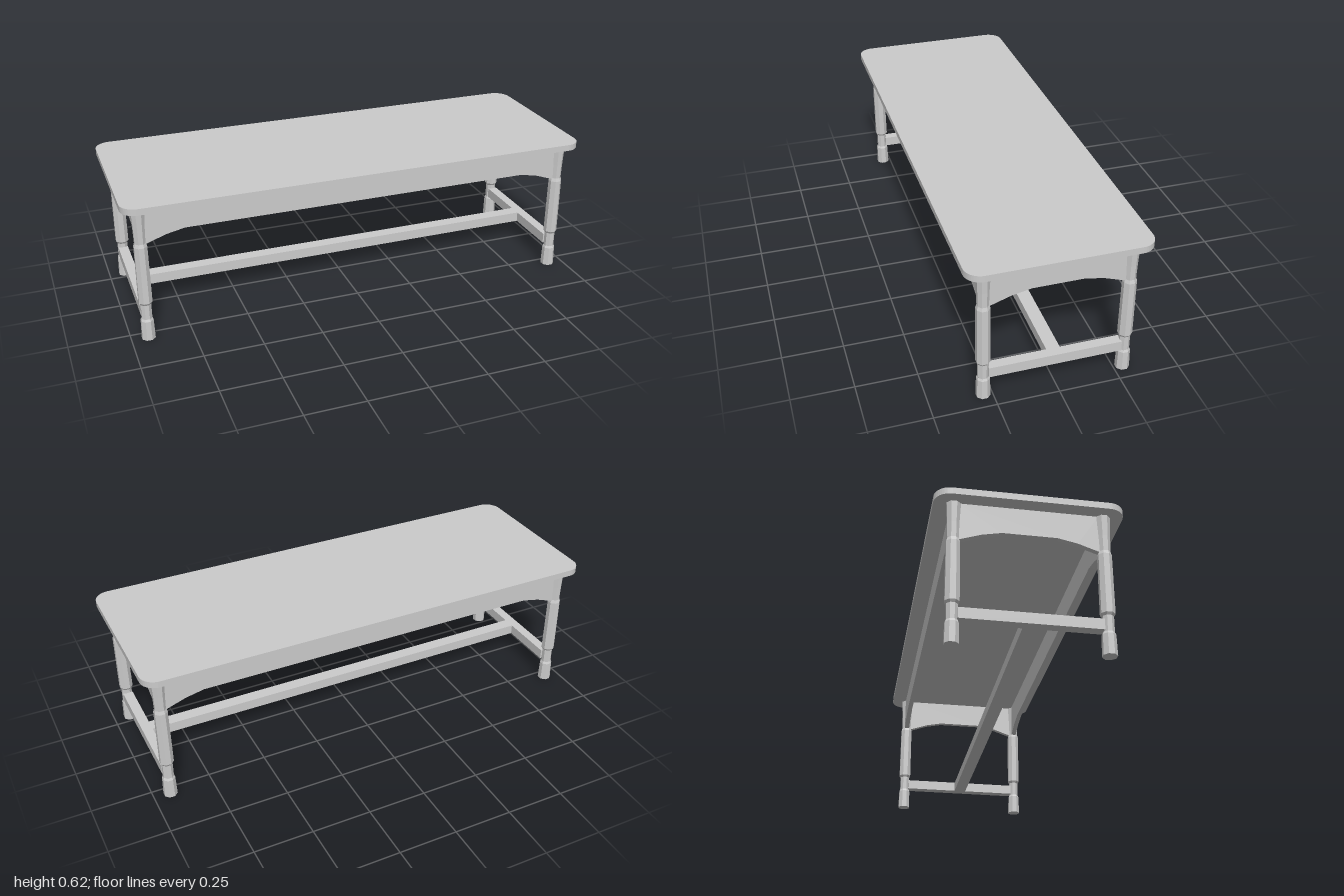
import * as THREE from 'three';

const material = new THREE.MeshStandardMaterial({ color: 0xcccccc, flatShading: true });

function add(parent, name, geometry, x = 0, y = 0, z = 0) {
  const mesh = new THREE.Mesh(geometry, material);
  mesh.name = name;
  mesh.position.set(x, y, z);
  parent.add(mesh);
  return mesh;
}

// Flat slab with rounded corners, lying in the xz plane
function slabGeometry(halfX, halfZ, radius, height) {
  const s = new THREE.Shape();
  for (let i = 0; i < 4; i++) {
    const sx = i === 0 || i === 3 ? 1 : -1;
    const sz = i < 2 ? 1 : -1;
    s.absarc(sx * (halfX - radius), sz * (halfZ - radius), radius,
      i * Math.PI / 2, (i + 1) * Math.PI / 2, false);
  }
  s.closePath();
  const g = new THREE.ExtrudeGeometry(s, { depth: height, bevelEnabled: false, curveSegments: 5 });
  return g.rotateX(-Math.PI / 2);
}

// Apron board whose lower edge drops in a shallow curve towards each leg
function apronGeometry(half, straight, thickness) {
  const top = 0.588, mid = 0.475, low = 0.43;
  const bend = straight + (half - straight) * 0.48;
  const s = new THREE.Shape([
    [-half, top], [-half, low], [-bend, 0.459], [-straight, mid],
    [straight, mid], [bend, 0.459], [half, low], [half, top],
  ].map(([x, y]) => new THREE.Vector2(x, y)));
  const g = new THREE.ExtrudeGeometry(s, { depth: thickness, bevelEnabled: false });
  return g.translate(0, 0, -thickness / 2);
}

// Eight-sided leg with a slim neck at the stretcher and a tapered foot
function legGeometry() {
  const k = 1 / Math.cos(Math.PI / 8);
  const profile = [
    [0, 0], [0.027, 0], [0.025, 0.085], [0.021, 0.095], [0.021, 0.16],
    [0.027, 0.17], [0.026, 0.42], [0.022, 0.435], [0.0235, 0.5], [0.027, 0.588], [0, 0.588],
  ].map(([half, y]) => new THREE.Vector2(half * k, y));
  return new THREE.LatheGeometry(profile, 8, Math.PI / 8);
}

export function createModel() {
  const table = new THREE.Group();
  table.name = 'table';
  const legX = 0.93, legZ = 0.287;

  add(table, 'tableTop', slabGeometry(1, 0.364, 0.065, 0.027), 0, 0.588, 0);

  const leg = legGeometry();
  const longApron = apronGeometry(0.91, 0.75, 0.022);
  const endApron = apronGeometry(0.267, 0.105, 0.022);
  const endStretcher = new THREE.BoxGeometry(0.042, 0.044, 2 * (legZ - 0.018));

  for (const side of [-1, 1]) {
    // Front and back aprons, then the end aprons and stretchers
    add(table, side > 0 ? 'frontApron' : 'backApron', longApron, 0, 0, side * legZ);
    const end = side > 0 ? 'left' : 'right';
    add(table, end + 'Apron', endApron, side * legX, 0, 0).rotation.y = Math.PI / 2;
    add(table, end + 'Stretcher', endStretcher, side * legX, 0.12, 0);
    add(table, end + 'FrontLeg', leg, side * legX, 0, legZ);
    add(table, end + 'BackLeg', leg, side * legX, 0, -legZ);
  }

  // Long rail joining the two end stretchers
  add(table, 'centreStretcher', new THREE.BoxGeometry(2 * (legX - 0.02), 0.044, 0.055), 0, 0.12, 0);

  return table;
}
